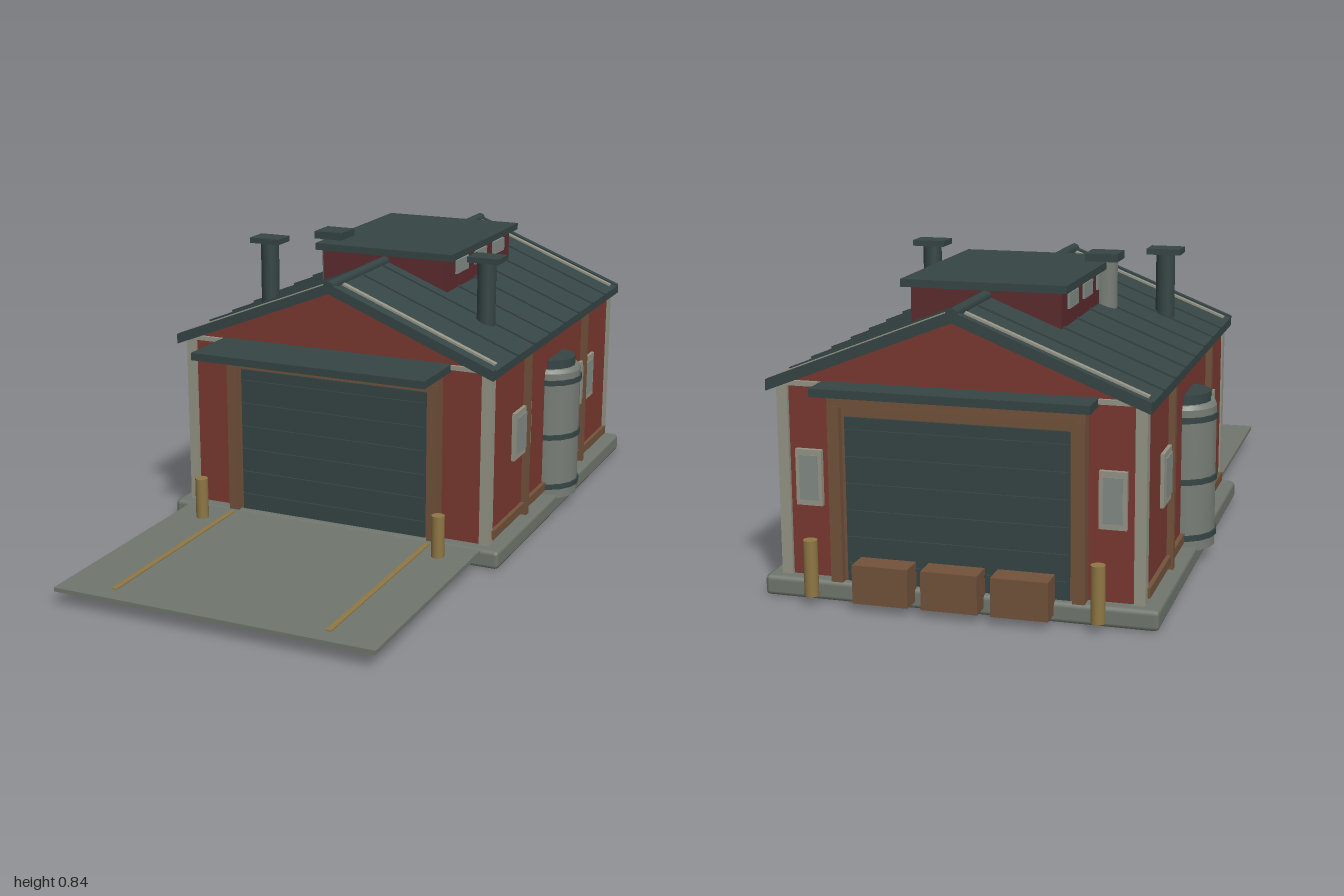
import * as THREE from 'three';
import { RoundedBoxGeometry } from 'three/addons/geometries/RoundedBoxGeometry.js';

const mat = (name, color) => {
  const m = new THREE.MeshStandardMaterial({ color });
  m.name = name;
  return m;
};

export function createModel() {
  const root = new THREE.Group();
  root.name = 'depotBuilding';
  const red = mat('barn red', 0x7a3830);
  const darkRed = mat('dark red', 0x5c2b2e);
  const slate = mat('slate', 0x364545);
  const concrete = mat('concrete', 0x70766d);
  const cream = mat('cream trim', 0x959486);
  const wood = mat('brown timber', 0x72523b);
  const yellow = mat('ochre', 0x8f7744);
  const metal = mat('tank metal', 0x787d76);
  const glass = mat('glass', 0x838c86);

  const add = (name, geo, m) => {
    const mesh = new THREE.Mesh(geo, m);
    mesh.name = name;
    root.add(mesh);
    return mesh;
  };
  // box given by its extents on each axis
  const box = (name, m, x0, x1, y0, y1, z0, z1) => {
    const b = add(name, new THREE.BoxGeometry(x1 - x0, y1 - y0, z1 - z0), m);
    b.position.set((x0 + x1) / 2, (y0 + y1) / 2, (z0 + z1) / 2);
    return b;
  };
  const cyl = (name, m, x, z, r, y0, y1, n = 12, rTop = r) => {
    const c = add(name, new THREE.CylinderGeometry(rTop, r, y1 - y0, n), m);
    c.position.set(x, (y0 + y1) / 2, z);
    return c;
  };
  const prism = (name, m, pts, z0, z1) => {
    const shape = new THREE.Shape(pts.map(p => new THREE.Vector2(...p)));
    const e = add(name, new THREE.ExtrudeGeometry(shape, { depth: z1 - z0, bevelEnabled: false }), m);
    e.position.z = z0;
    return e;
  };
  // strip lying on the roof slope of side s
  const slope = Math.atan2(0.2, 0.505);
  const roofY = x => 0.782 - 0.396 * x;
  const roofStrip = (name, m, s, x0, x1, z, width, height) => {
    const b = add(name, new THREE.BoxGeometry((x1 - x0) / Math.cos(slope), height, width), m);
    const x = (x0 + x1) / 2;
    b.position.set(s * x, roofY(x), z);
    b.rotation.z = -s * slope;
  };

  // base and driveway
  const base = add('foundation', new RoundedBoxGeometry(1.06, 0.056, 1.22, 1, 0.013), concrete);
  base.position.set(0, 0.028, -0.333);
  box('driveway', concrete, -0.476, 0.476, 0.041, 0.053, 0.25, 1);

  // walls with gables
  prism('walls', red, [[-0.485, 0.05], [0.485, 0.05], [0.485, 0.575], [0, 0.765], [-0.485, 0.575]], -0.905, 0.235);

  // main roof
  const chevron = (t, b) => [[-0.505, t - 0.2], [-0.505, b - 0.2], [0, b], [0.505, b - 0.2], [0.505, t - 0.2], [0, t]];
  prism('roof', slate, chevron(0.782, 0.757), -0.94, 0.27);
  for (const z of [-0.948, 0.256]) prism('bargeBoard', slate, chevron(0.787, 0.757), z, z + 0.02);
  const ridge = add('ridgeCap', new THREE.CylinderGeometry(0.017, 0.017, 1.225, 8), slate);
  ridge.rotation.x = Math.PI / 2;
  ridge.position.set(0, 0.778, -0.335);
  for (const s of [-1, 1]) {
    for (let i = 0; i < 7; i++) roofStrip('roofSeam', slate, s, 0.02, 0.505, 0.075 - i * 0.144, 0.009, 0.01);
    for (const z of [-0.9, 0.217]) roofStrip('rakeTrim', cream, s, 0.02, 0.49, z, 0.016, 0.012);
  }

  // roof lantern
  box('lantern', darkRed, -0.207, 0.207, 0.66, 0.8, -0.665, -0.12);
  box('lanternRoof', slate, -0.228, 0.228, 0.798, 0.819, -0.69, -0.105);
  for (const s of [-1, 1]) for (const z of [-0.235, -0.395, -0.555]) {
    const w = box('lanternWindow', glass, -0.004, 0.004, 0.744, 0.786, z - 0.05, z + 0.05);
    w.position.x = s * 0.209;
  }

  // roof vents and flue
  for (const s of [-1, 1]) {
    cyl('vent', slate, s * 0.359, -0.052, 0.028, 0.6, 0.825);
    box('ventCap', slate, s * 0.359 - 0.049, s * 0.359 + 0.049, 0.821, 0.838, -0.09, -0.014);
  }
  cyl('flue', metal, -0.215, -0.215, 0.038, 0.63, 0.825);
  box('flueCap', slate, -0.262, -0.168, 0.82, 0.843, -0.262, -0.168);

  // end walls: s = 1 is the front, s = -1 the back
  for (const s of [1, -1]) {
    const wall = s > 0 ? 0.235 : -0.905;
    const out = (name, m, x0, x1, y0, y1, d0, d1) => {
      const a = wall + s * d0, b = wall + s * d1;
      return box(name, m, x0, x1, y0, y1, Math.min(a, b), Math.max(a, b));
    };
    out('doorSurround', wood, -0.325, 0.325, 0.055, 0.55, -0.01, 0.018);
    out('doorHeader', wood, -0.34, 0.34, 0.523, 0.558, 0, 0.036);
    out('door', slate, -0.298, 0.298, 0.058, 0.497, 0, 0.024);
    for (let i = 0; i < 7; i++) {
      const y = 0.104 + i * 0.0715;
      if (y < 0.49) out('doorRib', slate, -0.296, 0.296, y - 0.004, y + 0.004, 0.02, 0.029);
    }
    out('canopy', slate, -0.365, 0.365, 0.56, 0.582, -0.01, s > 0 ? 0.198 : 0.092);
    out('eaveTrim', cream, -0.485, 0.485, 0.567, 0.58, -0.01, 0.01);
    for (const m of [-1, 1]) {
      const c = m * 0.324;
      out('doorPost', wood, c - 0.016, c + 0.016, 0.055, 0.525, 0, 0.038);
      out('cornerTrim', cream, m * 0.475 - 0.015, m * 0.475 + 0.015, 0.055, 0.567, -0.022, 0.01);
      cyl('bollard', yellow, m * 0.382, s > 0 ? 0.365 : -0.975, 0.019, s > 0 ? 0.052 : 0.025, 0.176);
      if (s < 0) {
        const x = m * 0.405;
        out('backWindowFrame', cream, x - 0.036, x + 0.036, 0.25, 0.4, 0, 0.014);
        out('backWindowPane', glass, x - 0.025, x + 0.025, 0.265, 0.385, 0.01, 0.017);
      }
    }
  }

  // crates behind the building
  for (const x of [-0.185, 0, 0.185]) box('crate', wood, x - 0.075, x + 0.075, 0.022, 0.125, -0.998, -0.9);

  // side walls
  for (const s of [-1, 1]) {
    const side = (name, m, y0, y1, z0, z1, d) => {
      const b = box(name, m, 0, d, y0, y1, z0, z1);
      b.position.x = s * (0.485 + d / 2);
    };
    side('baseRail', wood, 0.07, 0.096, -0.89, 0.22, 0.012);
    for (const z of [-0.055, -0.612]) side('wallPost', wood, 0.056, 0.58, z - 0.011, z + 0.011, 0.018);
    for (const z of [-0.02, -0.65]) {
      side('windowFrame', cream, 0.255, 0.4, z - 0.073, z + 0.073, 0.01);
      side('windowPane', glass, 0.272, 0.383, z - 0.055, z + 0.055, 0.013);
    }

    // storage tank
    const x = s * 0.465, z = -0.335;
    cyl('tank', metal, x, z, 0.1, 0.043, 0.445, 16);
    cyl('tankShoulder', metal, x, z, 0.1, 0.445, 0.457, 16, 0.094);
    cyl('tankCap', slate, x, z, 0.083, 0.455, 0.484, 16);
    for (const y of [0.081, 0.242, 0.417]) cyl('tankBand', slate, x, z, 0.105, y - 0.008, y + 0.008, 16);

    // driveway guide line
    box('guideLine', yellow, s * 0.32 - 0.008, s * 0.32 + 0.008, 0.052, 0.056, 0.29, 0.945);
  }
  return root;
}
